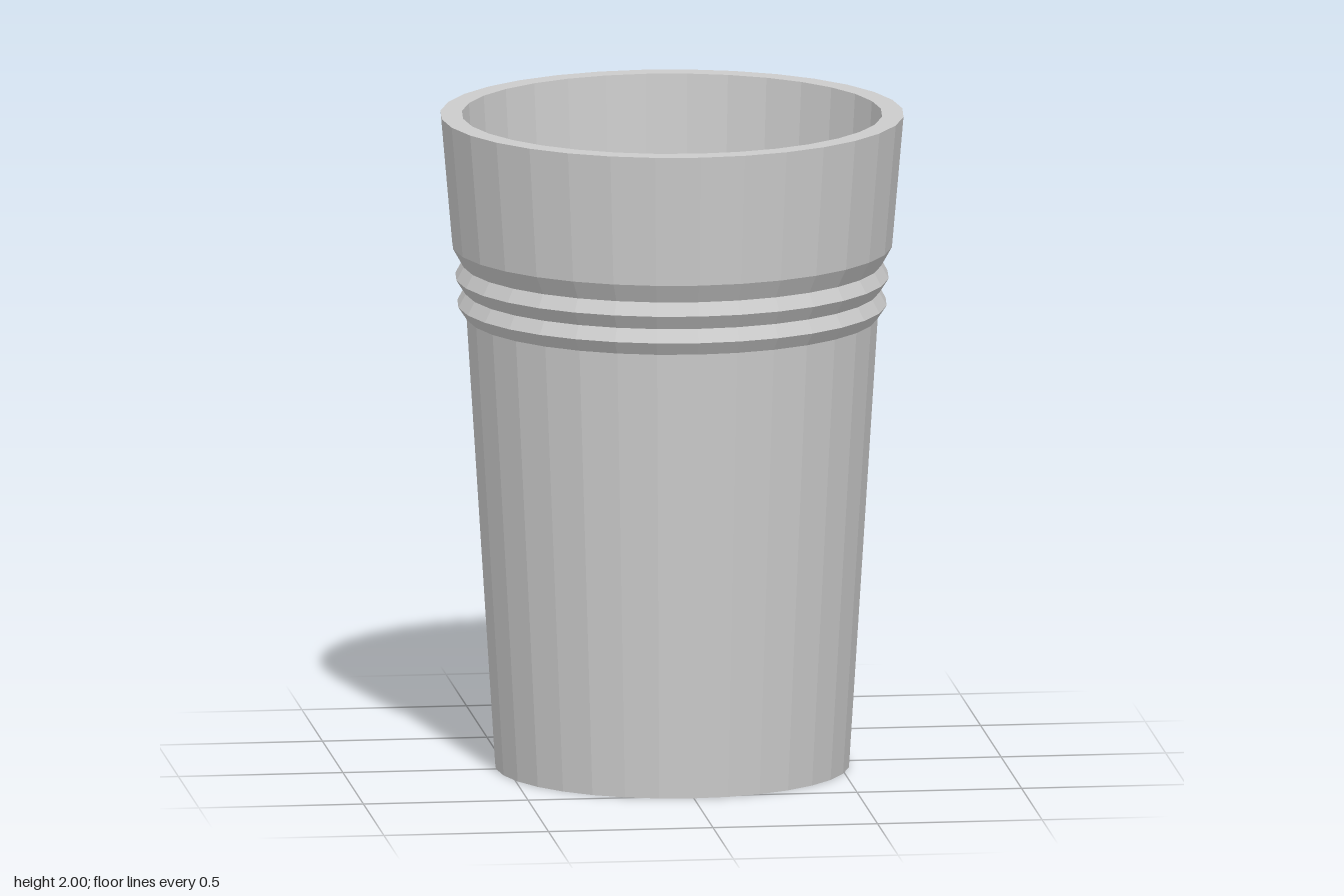
import * as THREE from 'three';

const SEGMENTS = 32;

// Turn a list of [radius, height] pairs around the y axis
function turned(name, profile, material) {
  const points = profile.map(([r, y]) => new THREE.Vector2(r, y));
  const mesh = new THREE.Mesh(new THREE.LatheGeometry(points, SEGMENTS), material);
  mesh.name = name;
  return mesh;
}

export function createModel() {
  const cup = new THREE.Group();
  cup.name = 'cup';
  const material = new THREE.MeshStandardMaterial({ color: 0xcccccc, flatShading: true });

  // Base disc and tapered lower wall
  cup.add(turned('lowerBody', [[0, 0], [0.535, 0], [0.622, 1.38]], material));

  // Two sharp grip ridges below the collar
  cup.add(turned('gripRidges', [
    [0.622, 1.38], [0.649, 1.42], [0.627, 1.46], [0.655, 1.503], [0.633, 1.543], [0.665, 1.6],
  ], material));

  // Flared collar and flat rim
  cup.add(turned('collarAndRim', [[0.665, 1.6], [0.7, 2], [0.635, 2]], material));

  // Straight tapered inner wall and floor
  cup.add(turned('inside', [[0.635, 2], [0.515, 0.08], [0, 0.08]], material));

  return cup;
}
